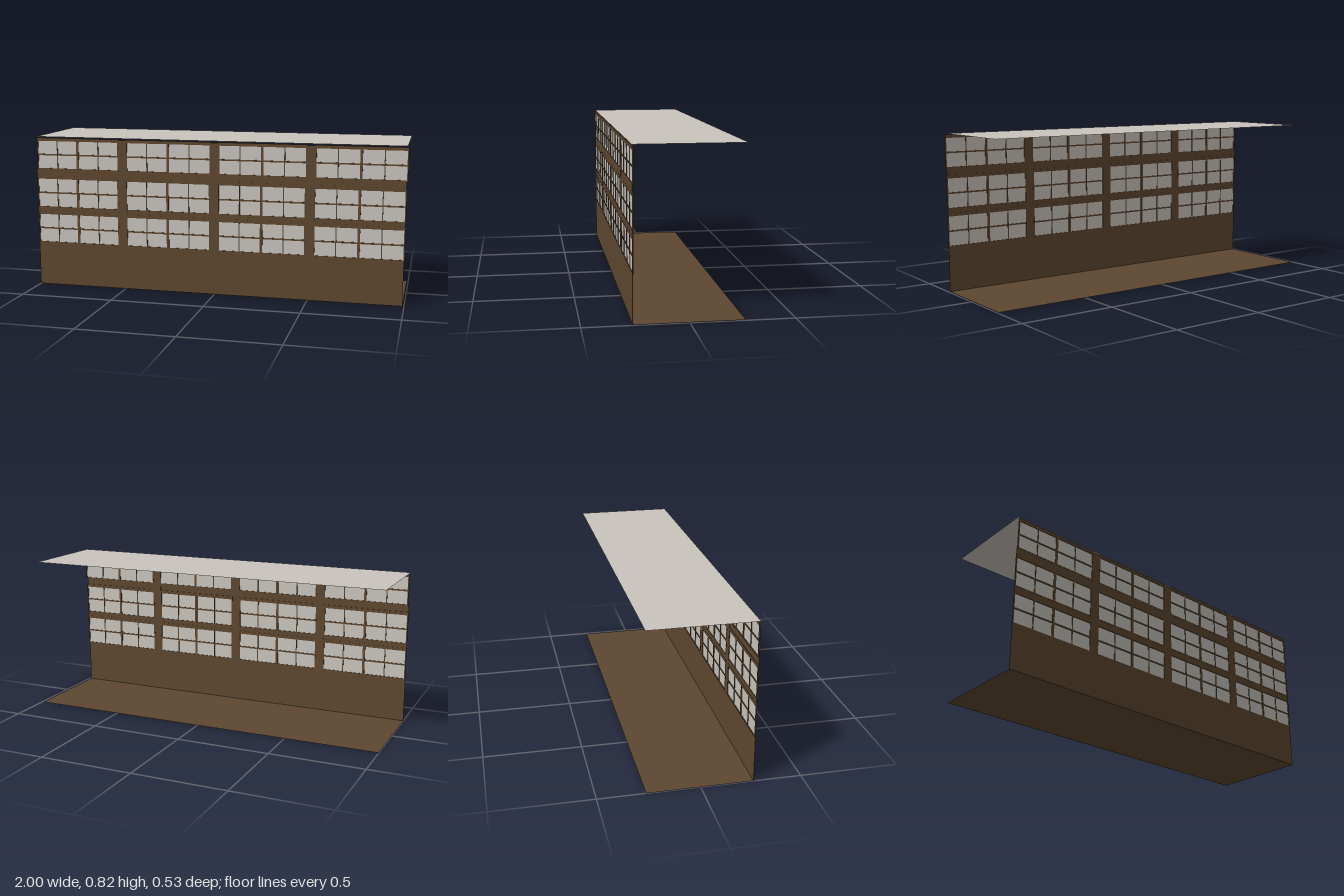
import * as THREE from 'three';

const wood = new THREE.MeshStandardMaterial({ color: 0x5e4830 });
wood.name = 'brown wood';
const board = new THREE.MeshStandardMaterial({ color: 0x5e4830, side: THREE.DoubleSide });
board.name = 'brown floor board';
const paper = new THREE.MeshStandardMaterial({ color: 0xc9c4bd, side: THREE.DoubleSide });
paper.name = 'pale paper';

const LEFT = -1, RIGHT = 0.992, DEPTH = 0.528, FRONT = 0.264;

// Box given by its limits in x, y and z
function slab(name, x0, x1, y0, y1, z0, z1) {
  const mesh = new THREE.Mesh(new THREE.BoxGeometry(x1 - x0, y1 - y0, z1 - z0), wood);
  mesh.name = name;
  mesh.position.set((x0 + x1) / 2, (y0 + y1) / 2, (z0 + z1) / 2);
  return mesh;
}

// Horizontal sheet for the floor and ceiling
function sheet(name, y, material) {
  const mesh = new THREE.Mesh(new THREE.PlaneGeometry(RIGHT - LEFT, DEPTH).rotateX(-Math.PI / 2), material);
  mesh.name = name;
  mesh.position.set((LEFT + RIGHT) / 2, y, 0);
  return mesh;
}

// Window sash: wooden frame, cross bars and a paper pane seen from both sides
function windowSash(x0, x1, y0, y1) {
  const sash = new THREE.Group();
  sash.name = 'windowSash';
  const back = 0.258, stile = 0.0067, bottom = 0.007, top = 0.017;
  const px0 = x0 + stile, px1 = x1 - stile, py0 = y0 + bottom, py1 = y1 - top;
  const cx = (px0 + px1) / 2, cy = (py0 + py1) / 2;
  sash.add(
    slab('leftStile', x0, px0, y0, y1, back, FRONT),
    slab('rightStile', px1, x1, y0, y1, back, FRONT),
    slab('bottomRail', px0, px1, y0, py0, back, FRONT),
    slab('topRail', px0, px1, py1, y1, back, FRONT),
    slab('verticalBar', cx - 0.0025, cx + 0.0025, py0, py1, back, FRONT),
    slab('horizontalBar', px0, px1, cy - 0.004, cy + 0.004, back + 0.0005, FRONT - 0.0005)
  );
  const pane = new THREE.Mesh(new THREE.PlaneGeometry(px1 - px0, py1 - py0), paper);
  pane.name = 'pane';
  pane.position.set(cx, cy, 0.261);
  sash.add(pane);
  return sash;
}

export function createModel() {
  const model = new THREE.Group();
  model.name = 'windowedCorridor';

  // Floor, ceiling and the solid lower wall
  model.add(sheet('floor', 0, board), sheet('ceiling', 0.824, paper));
  model.add(slab('lowerWall', LEFT, RIGHT, 0.0005, 0.235, 0.261, FRONT));

  // Three rows of windows: bottom, top, sideways shift
  const rows = [[0.235, 0.413, 0], [0.433, 0.61, 0], [0.645, 0.818, 0.004]];
  const pitch = 0.5087, sashWidth = 0.234, start = -0.999;
  for (const [y0, y1, shift] of rows) {
    for (let bay = 0; bay < 4; bay++) {
      for (let half = 0; half < 2; half++) {
        const x = start + shift + bay * pitch + half * sashWidth;
        model.add(windowSash(x, x + sashWidth, y0, y1));
      }
    }
  }

  // Beams between the rows
  model.add(slab('middleBeam', LEFT, RIGHT, 0.413, 0.433, 0.259, 0.2635));
  model.add(slab('upperBeam', LEFT, RIGHT, 0.61, 0.645, 0.2615, 0.2635));

  // Posts between the bays
  for (let i = 1; i < 4; i++) {
    const x1 = start + i * pitch;
    model.add(slab('post', x1 - pitch + 2 * sashWidth, x1 + 0.004, 0.235, 0.815, 0.2585, 0.2638));
  }
  return model;
}
